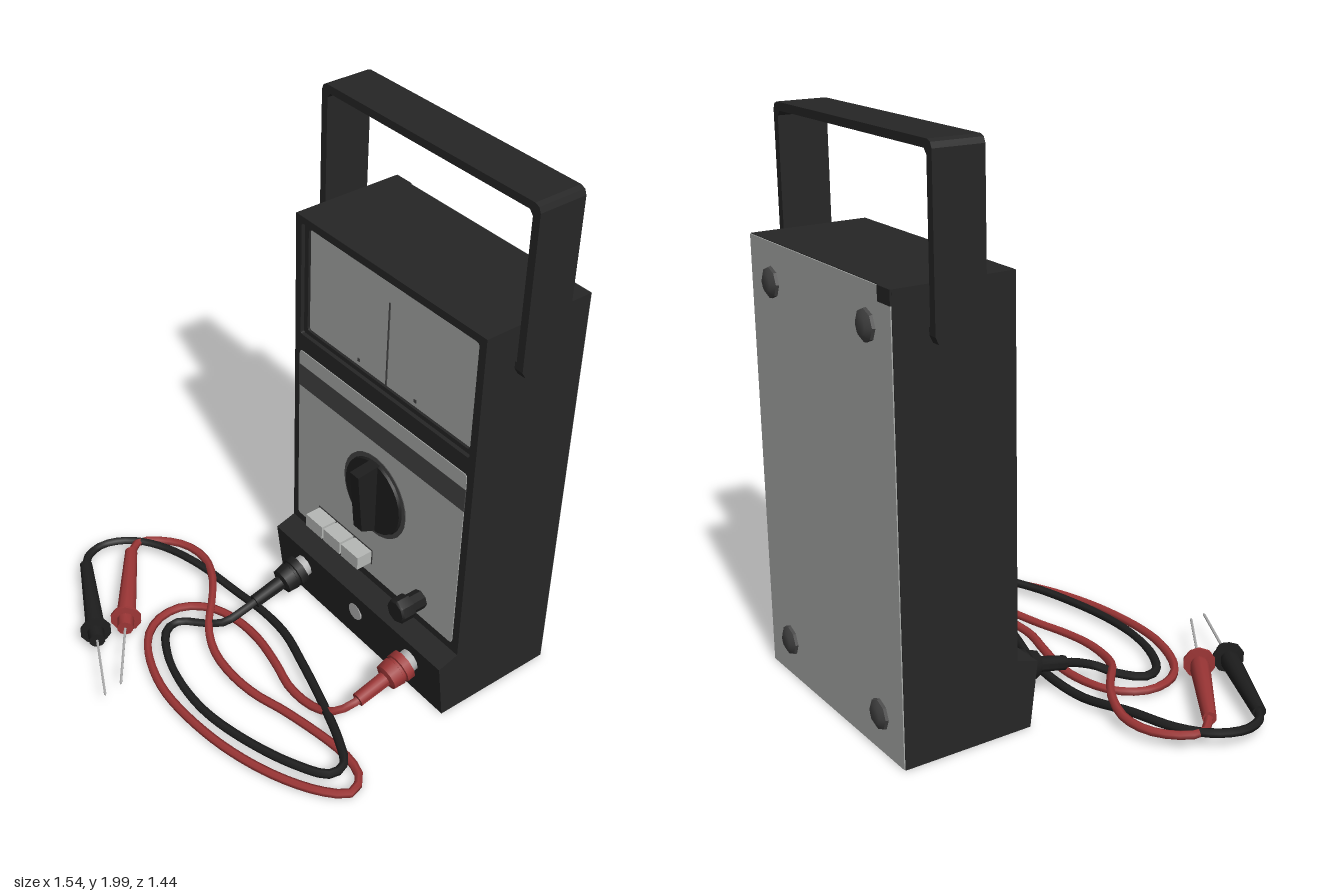
import * as THREE from 'three';
import { toCreasedNormals } from 'three/addons/utils/BufferGeometryUtils.js';

const CX = 0.195; // centre line of the case
const FRONT = -0.27; // z of the front face

export function createModel() {
  const model = new THREE.Group();
  const paint = (name, color) => {
    const m = new THREE.MeshStandardMaterial({ color });
    m.name = name;
    return m;
  };
  const black = paint('case black', 0x262626);
  const rubber = paint('knob black', 0x1e1e1e);
  const grey = paint('panel grey', 0xa9aba9);
  const light = paint('button grey', 0xb6b8b6);
  const dark = paint('dark grey', 0x444444);
  const red = paint('lead red', 0x9c3636);
  const metal = paint('metal', 0xb0b0b0);

  const add = (name, geo, mat, x = 0, y = 0, z = 0, parent = model) => {
    const mesh = new THREE.Mesh(geo, mat);
    mesh.name = name;
    mesh.position.set(x, y, z);
    parent.add(mesh);
    return mesh;
  };
  const box = (w, h, d) => new THREE.BoxGeometry(w, h, d);
  const extrude = (shape, depth) =>
    new THREE.ExtrudeGeometry(shape, { depth, bevelEnabled: false, curveSegments: 5 });
  const poly = (pts) => new THREE.Shape(pts.map(([x, y]) => new THREE.Vector2(x, y)));
  // side outline given as (z, y), swept across x and centred on cx
  const sideExtrude = (pts, width, cx) =>
    extrude(poly(pts), width).rotateY(-Math.PI / 2).translate(cx + width / 2, 0, 0);
  const roundRect = (x0, y0, x1, y1, r, S = THREE.Shape) => {
    const s = new S();
    s.moveTo(x0 + r, y0);
    s.lineTo(x1 - r, y0);
    s.quadraticCurveTo(x1, y0, x1, y0 + r);
    s.lineTo(x1, y1 - r);
    s.quadraticCurveTo(x1, y1, x1 - r, y1);
    s.lineTo(x0 + r, y1);
    s.quadraticCurveTo(x0, y1, x0, y1 - r);
    s.lineTo(x0, y0 + r);
    s.quadraticCurveTo(x0, y0, x0 + r, y0);
    return s;
  };
  // turned part along +z from (radius, z) pairs
  const turned = (pts, sides = 10) => toCreasedNormals(
    new THREE.LatheGeometry(pts.map(([r, z]) => new THREE.Vector2(r, z)), sides).rotateX(Math.PI / 2), 0.7);

  // case with the sloping socket ledge at the bottom
  add('case', sideExtrude([[-0.7, 0.01], [-0.22, 0.01], [-0.19, 0.245], [FRONT, 0.27],
    [-0.3, 0.27], [-0.3, 1.58], [-0.7, 1.58]], 0.93, CX), black);
  const face = poly([[-0.27, 0.27], [0.66, 0.27], [0.66, 1.58], [-0.27, 1.58]]);
  face.holes.push(roundRect(-0.24, 1.115, 0.63, 1.555, 0.01, THREE.Path));
  add('frontFrame', extrude(face, 0.03), black, 0, 0, -0.3);

  // meter window
  const bezel = roundRect(-0.24, 1.115, 0.63, 1.555, 0.01);
  bezel.holes.push(roundRect(-0.22, 1.132, 0.615, 1.537, 0.015, THREE.Path));
  add('meterBezel', extrude(bezel, 0.015), black, 0, 0, -0.3);
  add('meterDial', extrude(roundRect(-0.225, 1.127, 0.62, 1.542, 0.015), 0.005), grey, 0, 0, -0.3);
  add('meterNeedle', box(0.005, 0.325, 0.004), dark, CX, 1.295, -0.293);
  for (const x of [0.05, 0.34]) add('dialMark', box(0.012, 0.012, 0.003), dark, x, 1.155, -0.294);

  // control panel
  add('controlPanel', extrude(roundRect(-0.24, 0.305, 0.63, 1.048, 0.015), 0.003), grey, 0, 0, FRONT);
  add('panelStripe', box(0.872, 0.09, 0.006), dark, CX, 0.944, -0.269);

  // rotary selector
  const selector = new THREE.Group();
  selector.name = 'selector';
  selector.position.set(CX, 0.675, FRONT);
  model.add(selector);
  add('selectorScale', turned([[0, 0], [0.165, 0], [0.165, 0.006], [0, 0.006]], 28), dark, 0, 0, 0, selector);
  add('selectorDisc', turned([[0, 0], [0.15, 0], [0.145, 0.016], [0, 0.016]], 24), rubber, 0, 0, 0, selector);
  add('selectorGrip', sideExtrude([[0.005, -0.145], [0.075, -0.115], [0.1, 0.135], [0.005, 0.147]], 0.045, 0),
    rubber, 0, 0, 0, selector);

  // push buttons and adjuster
  for (let i = 0; i < 3; i++) {
    const x = -0.06 + i * 0.103;
    add('buttonSurround', box(0.104, 0.066, 0.008), dark, x, 0.386, FRONT);
    add('button', box(0.094, 0.054, 0.07), light, x, 0.386, -0.237);
  }
  add('adjusterKnob', turned([[0, 0], [0.036, 0], [0.036, 0.06], [0.046, 0.06], [0.046, 0.11],
    [0.04, 0.117], [0, 0.117]], 8), rubber, 0.46, 0.386, FRONT);
  add('ledgeScrew', turned([[0, 0], [0.037, 0], [0.034, 0.01], [0, 0.01]], 10), metal, CX, 0.157, -0.206);

  // carrying handle
  const hoop = poly([[-0.305, 1.45], [-0.276, 1.45], [-0.276, 1.955], [-0.262, 1.972],
    [0.652, 1.972], [0.666, 1.955], [0.666, 1.45], [0.695, 1.45], [0.695, 1.975],
    [0.687, 1.993], [0.67, 2], [-0.28, 2], [-0.297, 1.993], [-0.305, 1.975]]);
  add('handle', extrude(hoop, 0.18), black, 0, 0, -0.577);
  for (const side of [-1, 1]) {
    add('handleEnd', sideExtrude([[-0.577, 1.45], [-0.577, 1.425], [-0.565, 1.4], [-0.54, 1.39],
      [-0.437, 1.39], [-0.412, 1.4], [-0.397, 1.425], [-0.397, 1.45]], 0.035, CX + side * 0.4825), black);
  }

  // back plate, handle notch and feet
  add('backPlate', box(0.926, 1.566, 0.006), grey, CX, 0.795, -0.701);
  add('backNotch', box(0.075, 0.05, 0.006), black, -0.232, 1.555, -0.7025);
  for (const x of [-0.122, 0.512]) for (const y of [0.147, 1.443]) {
    const foot = add('foot', turned([[0, 0], [0.056, 0], [0.052, 0.014], [0.03, 0.026], [0, 0.026]], 8),
      dark, x, y, -0.7);
    foot.rotation.y = Math.PI;
  }

  // test leads: plug, cable and probe
  const lead = (name, mat, plugX, path, start, tip) => {
    const g = new THREE.Group();
    g.name = name;
    model.add(g);
    const plug = new THREE.Group();
    plug.name = 'plug';
    plug.position.set(plugX, 0.162, -0.205);
    plug.rotation.x = 0.24;
    g.add(plug);
    add('socket', turned([[0, 0], [0.042, 0], [0.042, 0.04], [0, 0.04]]), metal, 0, 0, 0, plug);
    add('plugBody', turned([[0, 0.03], [0.058, 0.03], [0.058, 0.06], [0.05, 0.062], [0.05, 0.072],
      [0.056, 0.074], [0.05, 0.115], [0.028, 0.122], [0.026, 0.245], [0, 0.245]]), mat, 0, 0, 0, plug);

    const curve = new THREE.CatmullRomCurve3(path.map(([x, y, z]) => new THREE.Vector3(x, y, z)));
    add('cable', new THREE.TubeGeometry(curve, 90, 0.016, 6), mat, 0, 0, 0, g);

    const probe = new THREE.Group();
    probe.name = 'probe';
    probe.position.set(...start);
    probe.lookAt(...tip);
    g.add(probe);
    const length = new THREE.Vector3(...start).distanceTo(new THREE.Vector3(...tip));
    add('probeGrip', turned([[0, 0], [0.024, 0], [0.036, 0.34], [0.03, 0.368], [0.058, 0.37],
      [0.058, 0.38], [0.032, 0.382], [0.03, 0.43], [0, 0.43]]), mat, 0, 0, 0, probe);
    add('probeNeedle', turned([[0, 0.42], [0.005, 0.42], [0.005, length - 0.015], [0, length]], 6),
      metal, 0, 0, 0, probe);
  };

  lead('blackLead', rubber, -0.11, [
    [-0.11, 0.11, 0], [-0.11, 0.09, 0.08], [-0.125, 0.06, 0.16], [-0.18, 0.04, 0.21], [-0.25, 0.035, 0.28],
    [-0.24, 0.035, 0.34], [-0.14, 0.035, 0.405], [0, 0.035, 0.445], [0.16, 0.035, 0.455],
    [0.33, 0.04, 0.43], [0.55, 0.05, 0.36], [0.67, 0.055, 0.285], [0.665, 0.055, 0.225],
    [0.58, 0.055, 0.175], [0.4, 0.055, 0.11], [0.2, 0.055, 0.05], [0.05, 0.05, 0.01],
    [-0.1, 0.04, 0], [-0.25, 0.035, 0.015], [-0.45, 0.06, 0.06], [-0.62, 0.06, 0.12],
    [-0.72, 0.06, 0.2], [-0.76, 0.06, 0.3], [-0.735, 0.06, 0.38], [-0.68, 0.06, 0.42],
  ], [-0.7, 0.06, 0.41], [-0.055, 0.082, 0.717]);

  lead('redLead', red, 0.5, [
    [0.5, 0.11, 0], [0.495, 0.09, 0.06], [0.46, 0.06, 0.11], [0.38, 0.035, 0.138], [0.26, 0.03, 0.145],
    [0.13, 0.03, 0.115], [-0.02, 0.025, 0.09], [-0.15, 0.025, 0.1], [-0.25, 0.025, 0.14],
    [-0.315, 0.025, 0.22], [-0.32, 0.025, 0.31], [-0.28, 0.025, 0.39], [-0.2, 0.025, 0.45],
    [-0.06, 0.025, 0.5], [0.08, 0.025, 0.515], [0.33, 0.025, 0.49], [0.55, 0.025, 0.42],
    [0.7, 0.025, 0.33], [0.755, 0.025, 0.26], [0.72, 0.025, 0.2], [0.62, 0.025, 0.177],
    [0.35, 0.025, 0.22], [0.2, 0.025, 0.262], [0.07, 0.03, 0.275], [-0.05, 0.035, 0.26],
    [-0.15, 0.05, 0.215], [-0.25, 0.065, 0.13], [-0.35, 0.07, 0.06], [-0.47, 0.06, 0.02],
    [-0.58, 0.055, 0.04], [-0.67, 0.055, 0.12], [-0.69, 0.06, 0.18], [-0.63, 0.07, 0.25],
  ], [-0.65, 0.07, 0.235], [-0.065, 0.085, 0.648]);

  return model;
}
